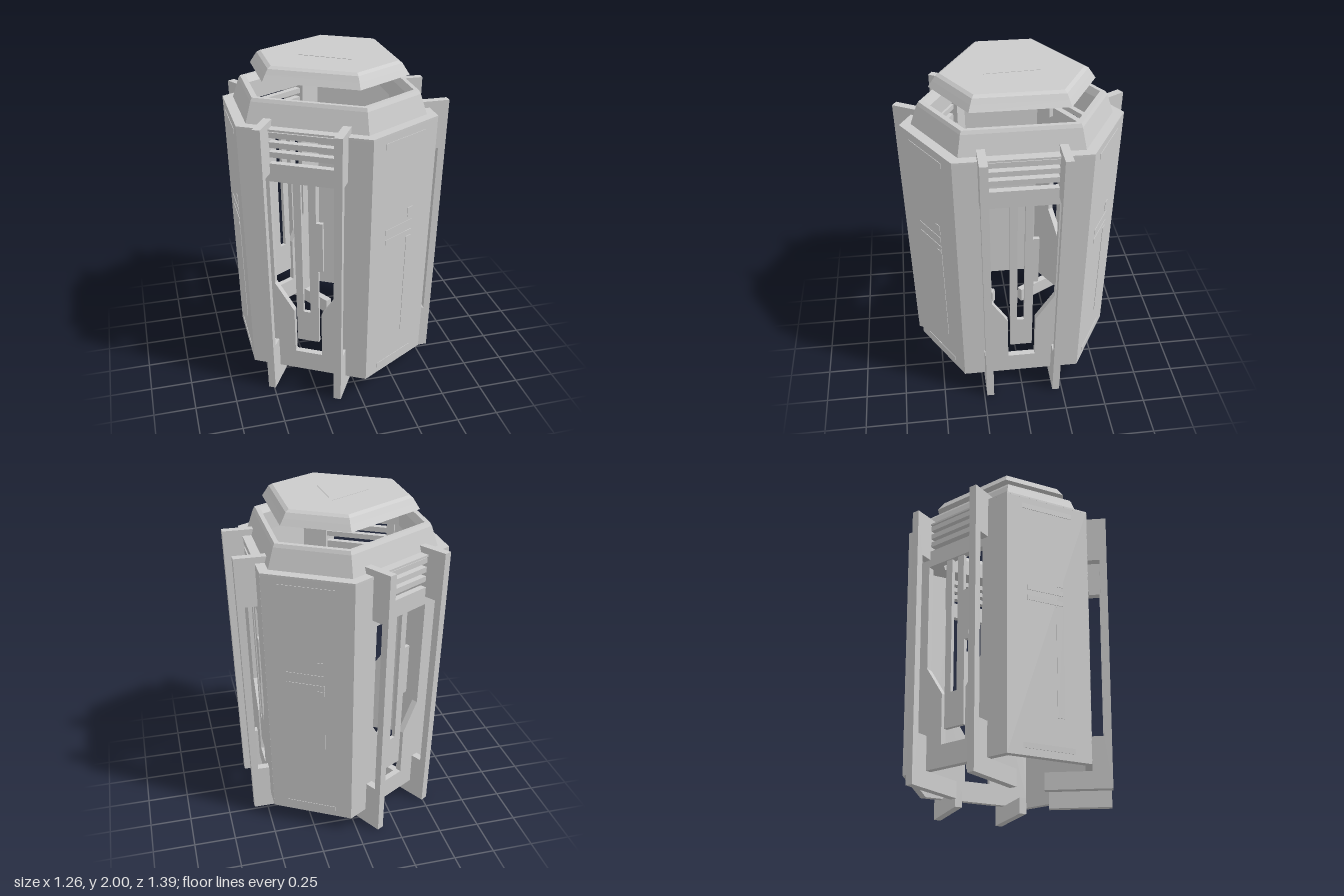
import * as THREE from 'three';

const LONG = 0.535, SHORT = 0.605; // distances of the long and short sides from the axis
const mat = new THREE.MeshStandardMaterial({ color: 0xcccccc, flatShading: true, side: THREE.DoubleSide });

// Everything below the collar narrows slightly towards the ground
function taper(geo) {
  const p = geo.attributes.position;
  for (let i = 0; i < p.count; i++) {
    const s = 1 - 0.041 * (1.7 - p.getY(i));
    p.setX(i, p.getX(i) * s);
    p.setZ(i, p.getZ(i) * s);
  }
  geo.computeVertexNormals();
  return geo;
}

function mesh(name, geo, parent) {
  const m = new THREE.Mesh(geo, mat);
  m.name = name;
  parent.add(m);
  return m;
}

const outline = (pts) => pts.map(([x, y]) => new THREE.Vector2(x, y));
const rect = (x0, y0, x1, y1) => [[x0, y0], [x1, y0], [x1, y1], [x0, y1]];

// Upright plate in the x-y plane whose outer face sits at z = front
function plate(pts, depth, front, holes = []) {
  const shape = new THREE.Shape(outline(pts));
  holes.forEach((h) => shape.holes.push(new THREE.Path(outline(h))));
  const geo = new THREE.ExtrudeGeometry(shape, { depth, bevelEnabled: false });
  return geo.translate(0, 0, front - depth);
}

// Six-sided loft with alternating long and short sides; rings are [long, short, y]
function hexLoft(rings) {
  const loops = rings.map(([a, b, y]) => {
    const h = (b - a / 2) / Math.sin(Math.PI / 3);
    const r = Math.hypot(a, h), t = Math.atan2(h, a), loop = [];
    for (let k = 0; k < 3; k++) {
      for (const s of [-1, 1]) {
        const q = (k * 2 * Math.PI) / 3 + s * t;
        loop.push([r * Math.cos(q), y, r * Math.sin(q)]);
      }
    }
    return loop;
  });
  const v = [];
  for (let i = 0; i < loops.length - 1; i++) {
    for (let k = 0; k < 6; k++) {
      const n = (k + 1) % 6;
      const A = loops[i][k], B = loops[i][n], C = loops[i + 1][k], D = loops[i + 1][n];
      v.push(...A, ...C, ...B, ...B, ...C, ...D);
    }
  }
  const geo = new THREE.BufferGeometry();
  geo.setAttribute('position', new THREE.Float32BufferAttribute(v, 3));
  geo.computeVertexNormals();
  return geo;
}

// Open side: framed window, louvres, hanging strip and two fins
function openSide() {
  const g = new THREE.Group();
  g.name = 'openSide';
  const window_ = [[-0.09, 0.23], [0.09, 0.23], [0.09, 0.53], [0.21, 0.71], [0.21, 1.39],
    [-0.21, 1.39], [-0.21, 0.71], [-0.09, 0.53]];
  mesh('windowFrame', taper(plate(rect(-0.39, 0.1, 0.39, 1.7), 0.04, LONG,
    [window_, rect(-0.21, 1.5, 0.21, 1.695)])), g);

  for (let i = 0; i < 3; i++) {
    const y = 1.535 + i * 0.058;
    mesh('louvre', taper(plate(rect(-0.21, y, 0.21, y + 0.033), 0.04, LONG - 0.005)), g);
  }

  const strip = [[-0.075, 1.4], [-0.075, 0.32], [0.07, 0.32], [0.07, 0.83], [0.1, 0.83],
    [0.1, 1.15], [0.06, 1.15], [0.06, 1.4], [0.015, 1.4], [0.015, 0.53], [-0.03, 0.53], [-0.03, 1.4]];
  mesh('hangingStrip', taper(plate(strip, 0.025, LONG - 0.008)), g);

  // C-shaped fin drawn as radius against height, turned to stand out from the wall
  const fin = [[0.25, 0], [0.655, 0], [0.655, 1.74], [0.465, 1.74], [0.465, 1.44], [0.61, 1.44],
    [0.61, 0.3], [0.5, 0.3], [0.5, 0.1], [0.25, 0.1]];
  for (const s of [-1, 1]) {
    const geo = plate(fin, 0.048, 0.024).rotateY(-Math.PI / 2).translate(s * 0.227, 0, 0);
    mesh('fin', taper(geo), g);
  }
  return g;
}

// Closed side: plain panel with shallow applied details
function closedSide() {
  const g = new THREE.Group();
  g.name = 'closedSide';
  mesh('panel', taper(plate(rect(-0.268, 0.1, 0.268, 1.7), 0.04, SHORT)), g);
  const details = [
    [0.05, 0.33, 0.095, 1.0], [-0.17, 1.615, 0.16, 1.65], [-0.17, 0.14, 0.16, 0.17],
    [-0.14, 1.01, 0.095, 1.04], [-0.14, 1.075, 0.095, 1.105], [0.05, 1.13, 0.095, 1.19],
  ];
  details.forEach((d) => mesh('panelDetail', taper(plate(rect(...d), 0.006, SHORT + 0.003)), g));
  return g;
}

export function createModel() {
  const model = new THREE.Group();
  model.name = 'hexagonalBooth';
  const body = new THREE.Group();
  body.name = 'body';
  body.position.x = -0.025;
  model.add(body);

  for (let k = 0; k < 3; k++) {
    const turn = (k * 2 * Math.PI) / 3;
    const open = openSide();
    open.rotation.y = Math.PI / 2 + turn;
    const closed = closedSide();
    closed.rotation.y = Math.PI / 6 + turn;
    body.add(open, closed);
  }

  // Hollow collar with a ledge on top of the walls
  mesh('collar', hexLoft([
    [0.39, 0.45, 1.69], [LONG, SHORT, 1.69], [LONG, SHORT, 1.702], [0.48, 0.545, 1.702],
    [0.445, 0.51, 1.82], [0.435, 0.5, 1.84], [0.41, 0.47, 1.84], [0.39, 0.45, 1.8], [0.39, 0.45, 1.69],
  ]), body);

  // Floating stepped roof cap
  mesh('roofCap', hexLoft([
    [0, 0, 1.92], [0.393, 0.438, 1.92], [0.372, 0.418, 1.955], [0.355, 0.4, 1.985],
    [0.335, 0.38, 1.998], [0, 0, 1.998],
  ]), body);

  // Flat triangle set into the cap
  const tri = new THREE.ExtrudeGeometry(
    new THREE.Shape(outline([[-0.19, 0.01], [0.07, 0.16], [0.09, -0.17]])),
    { depth: 0.004, bevelEnabled: false });
  mesh('capInlay', tri.rotateX(-Math.PI / 2).translate(0, 1.996, 0), body);

  return model;
}
